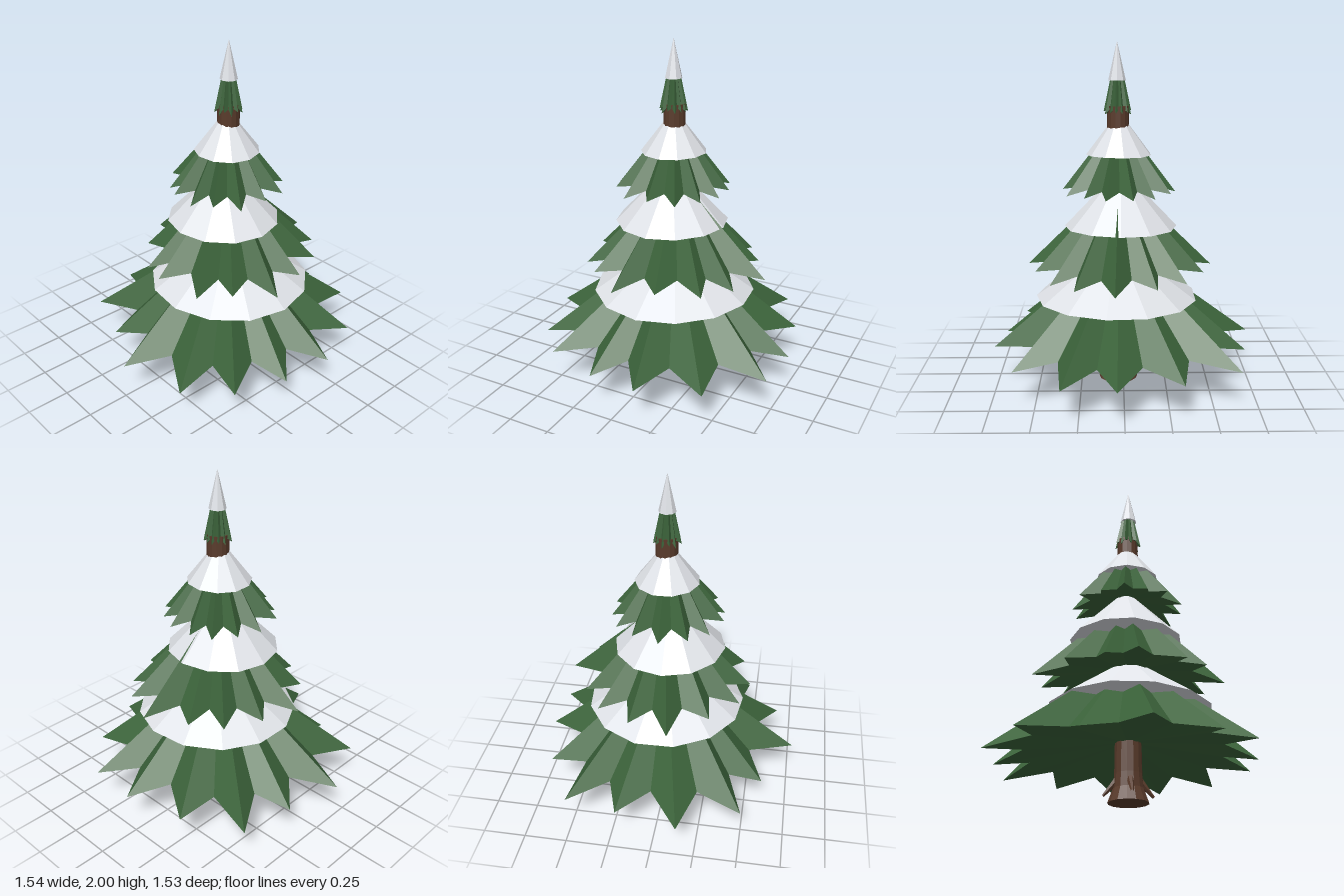
import * as THREE from 'three';

const leaf = new THREE.MeshStandardMaterial({ color: 0x3c643b, flatShading: true });
leaf.name = 'needle green';
const snow = new THREE.MeshStandardMaterial({ color: 0xdfe2e7, flatShading: true });
snow.name = 'snow white';
const bark = new THREE.MeshStandardMaterial({ color: 0x593b2b, flatShading: true });
bark.name = 'bark brown';

const CX = 0.025, CZ = 0.03;

// Uneven ring of branch tips: [x, z] pairs running from +x towards +z
function starTips(count, radius, phase, cx, cz) {
  return Array.from({ length: count }, (_, i) => {
    const a = phase + (i / count) * Math.PI * 2 + 0.05 * Math.sin(i * 5.3);
    const r = radius * (1 + 0.02 * Math.sin(i * 3.7));
    return [cx + r * Math.cos(a), cz + r * Math.sin(a)];
  });
}

// Closed star-shaped cone: ridges run to the tips, valleys lie between them
function branchTier({ name, tips, cx, cz, tipY, lift, apexY, hubY, valley }) {
  const rim = [];
  tips.forEach(([x, z], i) => {
    const [nx, nz] = tips[(i + 1) % tips.length];
    rim.push([x, tipY + 0.012 * Math.sin(i * 2.9), z]);
    rim.push([cx + ((x + nx) / 2 - cx) * valley, tipY + lift, cz + ((z + nz) / 2 - cz) * valley]);
  });
  const apex = [cx, apexY, cz], hub = [cx, hubY, cz], pos = [];
  rim.forEach((p, i) => {
    const q = rim[(i + 1) % rim.length];
    pos.push(...apex, ...q, ...p, ...hub, ...p, ...q);
  });
  const geo = new THREE.BufferGeometry();
  geo.setAttribute('position', new THREE.Float32BufferAttribute(pos, 3));
  geo.computeVertexNormals();
  const mesh = new THREE.Mesh(geo, leaf);
  mesh.name = name;
  return mesh;
}

// Faceted snow cone with a slightly uneven rim
function snowCap(name, radius, y, apexY, cx, cz, sides) {
  const geo = new THREE.ConeGeometry(radius, apexY - y, sides);
  geo.translate(0, (apexY + y) / 2, 0);
  const p = geo.attributes.position;
  for (let i = 0; i < p.count; i++) {
    if (Math.hypot(p.getX(i), p.getZ(i)) < radius * 0.9) continue;
    const a = Math.atan2(p.getZ(i), p.getX(i));
    p.setY(i, y + radius * 0.015 * (1 + Math.sin(a * 2 + 1)));
  }
  geo.computeVertexNormals();
  const mesh = new THREE.Mesh(geo, snow);
  mesh.name = name;
  mesh.position.set(cx, 0, cz);
  return mesh;
}

// Tapered root bending outwards, made by shrinking a tube towards its tip
function root(angle) {
  const curve = new THREE.QuadraticBezierCurve3(
    new THREE.Vector3(0.062, 0.125, 0), new THREE.Vector3(0.1, 0.08, 0), new THREE.Vector3(0.14, 0.035, 0));
  const seg = 5, sides = 6;
  const geo = new THREE.TubeGeometry(curve, seg, 0.022, sides, false);
  const p = geo.attributes.position;
  for (let i = 0; i < p.count; i++) {
    const t = Math.floor(i / (sides + 1)) / seg;
    const c = curve.getPointAt(t), k = 1 - 0.65 * t;
    p.setXYZ(i, c.x + (p.getX(i) - c.x) * k, c.y + (p.getY(i) - c.y) * k, p.getZ(i) * k);
  }
  geo.computeVertexNormals();
  const mesh = new THREE.Mesh(geo, bark);
  mesh.name = 'root';
  mesh.position.set(CX, 0, CZ);
  mesh.rotation.y = angle;
  return mesh;
}

export function createModel() {
  const tree = new THREE.Group();
  tree.name = 'snowyTree';

  // Trunk with flared foot
  const profile = [[0, 0], [0.115, 0], [0.085, 0.08], [0.078, 0.16], [0.074, 0.4], [0.064, 1.5], [0.063, 1.64], [0, 1.64]];
  const trunk = new THREE.Mesh(new THREE.LatheGeometry(profile.map(([r, y]) => new THREE.Vector2(r, y)), 14), bark);
  trunk.name = 'trunk';
  trunk.position.set(CX, 0, CZ);
  tree.add(trunk);
  for (let i = 0; i < 4; i++) tree.add(root(i * Math.PI / 2));

  // Branch tiers, bottom to top
  tree.add(branchTier({
    name: 'bottomBranches', cx: 0.025, cz: 0.025, tipY: 0.23, lift: 0.045, apexY: 0.85, hubY: 0.34, valley: 0.75,
    tips: [[0.77, 0.04], [0.75, 0.34], [0.49, 0.62], [0.15, 0.76], [-0.15, 0.72], [-0.46, 0.63], [-0.66, 0.4],
      [-0.77, 0.03], [-0.6, -0.3], [-0.5, -0.61], [-0.15, -0.77], [0.21, -0.71], [0.52, -0.65], [0.69, -0.32]],
  }));
  tree.add(branchTier({
    name: 'lowerMiddleBranches', cx: 0.03, cz: 0.025, tipY: 0.69, lift: 0.035, apexY: 1.235, hubY: 0.77, valley: 0.74,
    tips: [[0.61, 0.05], [0.51, 0.27], [0.38, 0.41], [0.15, 0.51], [-0.09, 0.57], [-0.29, 0.42], [-0.43, 0.28],
      [-0.485, 0.01], [-0.435, -0.16], [-0.28, -0.36], [-0.06, -0.525], [0.17, -0.46], [0.37, -0.35], [0.48, -0.18]],
  }));
  tree.add(branchTier({
    name: 'upperMiddleBranches', cx: 0.02, cz: 0.025, tipY: 1.15, lift: 0.03, apexY: 1.58, hubY: 1.23, valley: 0.72,
    tips: starTips(14, 0.332, Math.PI / 14, 0.015, 0.025),
  }));
  tree.add(branchTier({
    name: 'topBranches', cx: 0.022, cz: 0.033, tipY: 1.6, lift: 0.025, apexY: 1.98, hubY: 1.63, valley: 0.74,
    tips: starTips(13, 0.08, 0.1, 0.022, 0.033),
  }));

  // Snow resting on each tier
  tree.add(snowCap('bottomSnow', 0.475, 0.515, 0.85, 0.03, 0.04, 13));
  tree.add(snowCap('lowerMiddleSnow', 0.328, 0.935, 1.28, 0.003, 0.015, 12));
  tree.add(snowCap('upperMiddleSnow', 0.188, 1.36, 1.61, 0.02, 0.025, 11));
  tree.add(snowCap('topSnow', 0.05, 1.78, 2, 0.022, 0.035, 8));

  return tree;
}
